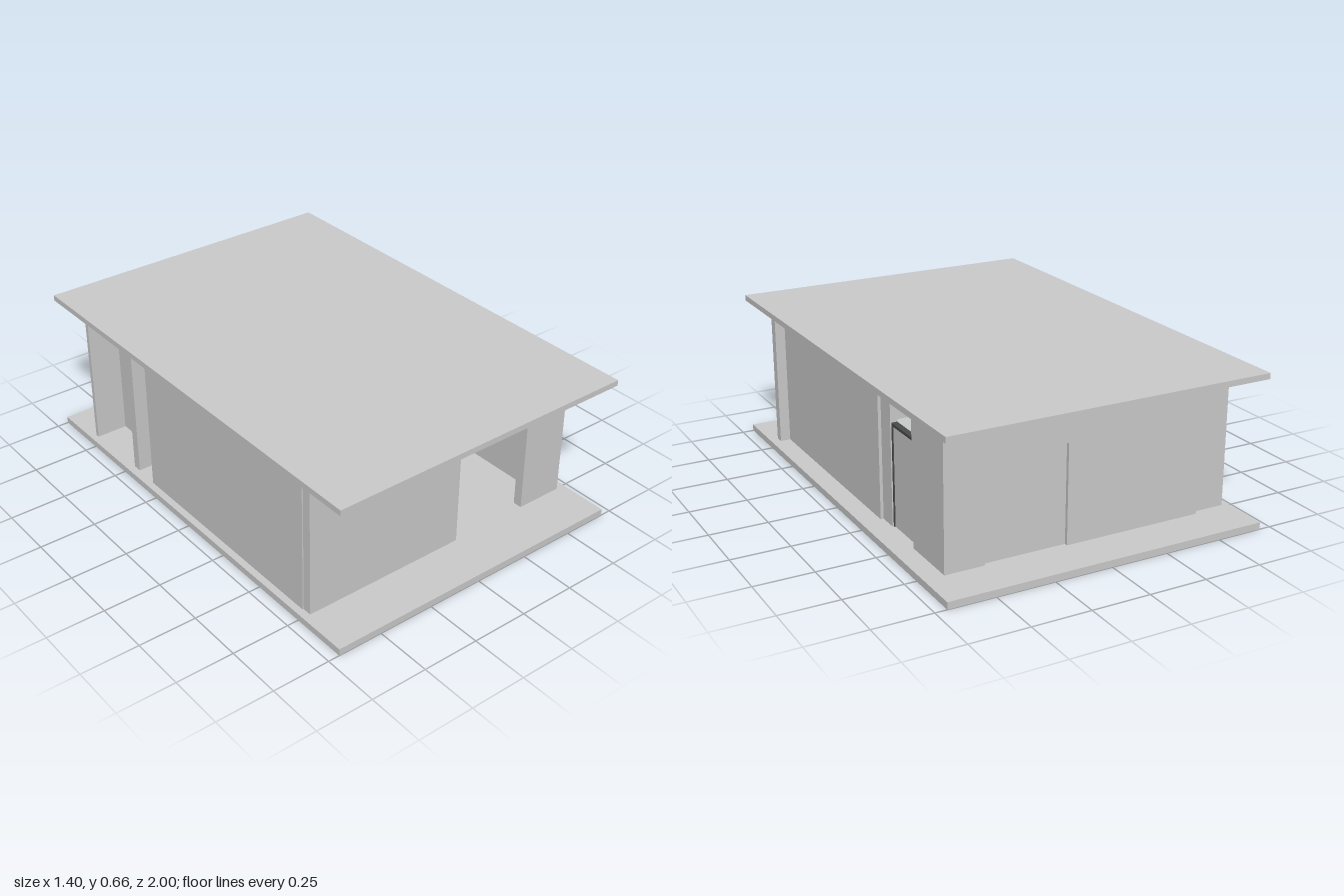
import * as THREE from 'three';

const grey = new THREE.MeshStandardMaterial({ color: 0xcccccc });
const dark = new THREE.MeshStandardMaterial({ color: 0x4a4c4c });
const glass = new THREE.MeshStandardMaterial({ color: 0xa8b6be });

const FLOOR = 0.03, CEILING = 0.635;

export function createModel() {
  const model = new THREE.Group();
  model.name = 'pavilion';

  // Box given by its extents on each axis
  const block = (name, [x0, x1], [y0, y1], [z0, z1], material = grey) => {
    const mesh = new THREE.Mesh(new THREE.BoxGeometry(x1 - x0, y1 - y0, z1 - z0), material);
    mesh.position.set((x0 + x1) / 2, (y0 + y1) / 2, (z0 + z1) / 2);
    mesh.name = name;
    model.add(mesh);
  };
  // Wall from floor to ceiling
  const wall = (name, x, z, material) => block(name, x, [FLOOR, CEILING], z, material);

  // Slabs
  block('floorSlab', [-0.7, 0.7], [0, FLOOR], [-1, 1]);
  block('roofSlab', [-0.7, 0.7], [CEILING, 0.66], [-1, 1]);

  // Front walls either side of the open entrance
  wall('frontWallWide', [-0.665, 0.08], [0.74, 0.78]);
  wall('frontWallNarrow', [0.445, 0.66], [0.74, 0.78]);
  block('entranceTrack', [0.12, 0.4], [0.622, CEILING], [0.75, 0.77], dark);

  // Wall on the -x side, stopping short of the rear porch
  wall('longSideWall', [-0.67, -0.625], [-0.315, 0.74]);

  // Walls on the +x side, with a doorway between them
  wall('sideWallFront', [0.57, 0.615], [-0.25, 0.74]);
  wall('doorwayPier', [0.57, 0.602], [-0.335, -0.25]);
  wall('sideWallRear', [0.57, 0.615], [-0.77, -0.55]);

  // Side door, open above its frame
  block('sideDoor', [0.575, 0.592], [FLOOR, 0.458], [-0.54, -0.342]);
  block('sideDoorHead', [0.572, 0.597], [0.458, 0.47], [-0.55, -0.335], dark);
  for (const [z0, z1] of [[-0.55, -0.54], [-0.342, -0.335]]) {
    block('sideDoorJamb', [0.572, 0.597], [FLOOR, 0.458], [z0, z1], dark);
  }
  block('doorCloser', [0.54, 0.57], [0.492, 0.515], [-0.546, -0.47], dark);

  // Rear wall around a recessed door
  wall('rearWallLeft', [0.445, 0.615], [-0.81, -0.77]);
  wall('rearWallRight', [-0.525, 0.085], [-0.81, -0.77]);
  block('rearDoorLintel', [0.085, 0.445], [0.455, CEILING], [-0.81, -0.77]);
  block('rearDoor', [0.085, 0.445], [FLOOR, 0.455], [-0.795, -0.775]);

  // Rear corner recess on the -x side
  wall('recessBackWall', [-0.53, -0.49], [-0.77, -0.315]);
  wall('recessScreen', [-0.67, -0.525], [-0.79, -0.77]);
  wall('recessFin', [-0.665, -0.53], [-0.47, -0.43]);

  // Inner partition with a glazed front bay
  wall('innerPartition', [-0.04, 0], [-0.77, 0.4]);
  wall('innerGlazing', [-0.03, -0.01], [0.4, 0.74], glass);

  return model;
}
